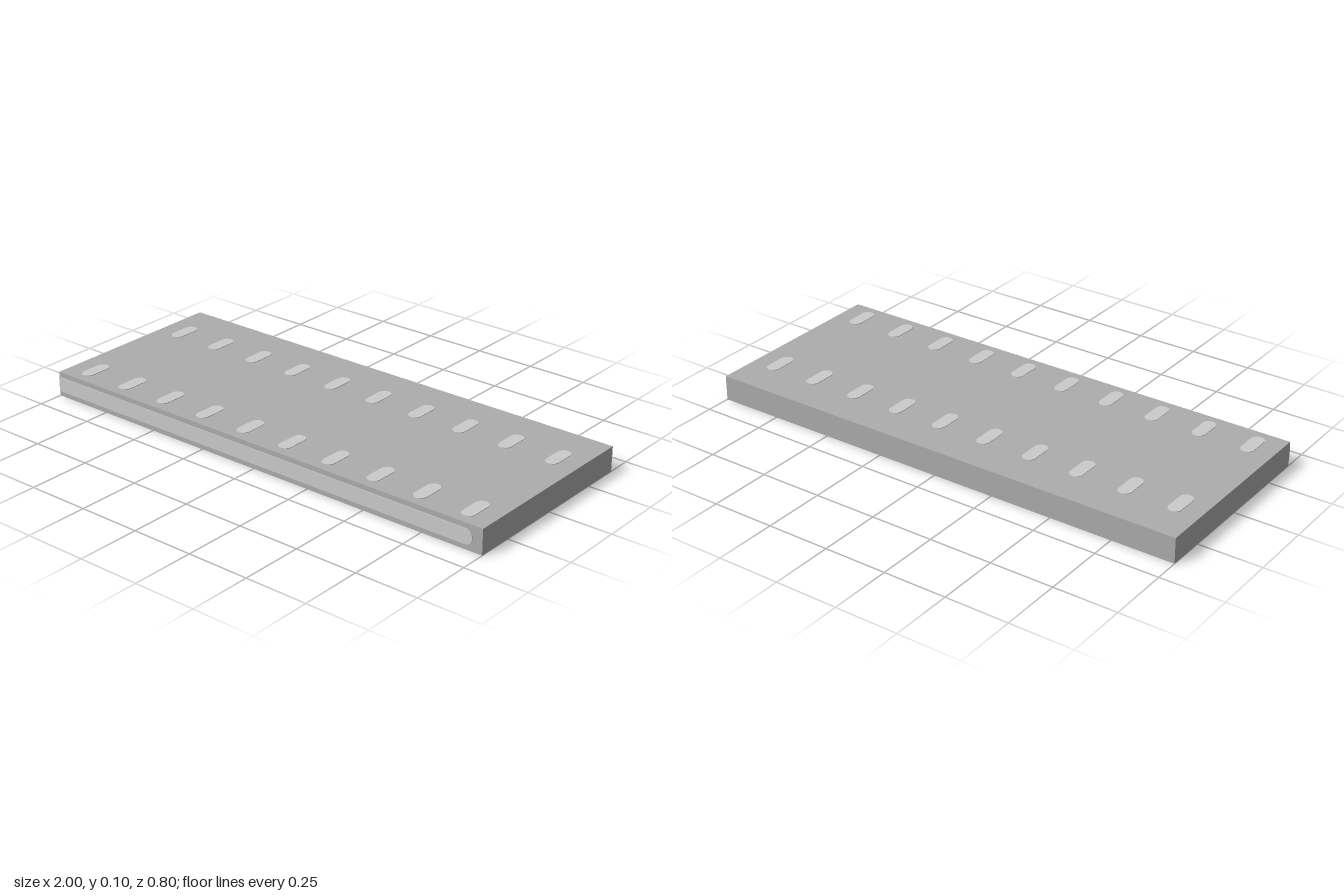
import * as THREE from 'three';

const T = 0.0025; // relief of the inlays

// Outline of a slot along x: right end round, left end round or square
function slotShape(x0, x1, r, roundLeft) {
  const s = new THREE.Shape();
  if (roundLeft) {
    s.absarc(x0 + r, 0, r, Math.PI / 2, Math.PI * 1.5, false);
  } else {
    s.moveTo(x0, r);
    s.lineTo(x0, -r);
  }
  s.absarc(x1 - r, 0, r, -Math.PI / 2, Math.PI / 2, false);
  s.closePath();
  return s;
}

function inlay(shape) {
  return new THREE.ExtrudeGeometry(shape, { depth: T, bevelEnabled: false, curveSegments: 16 });
}

export function createModel() {
  const group = new THREE.Group();
  const slabMat = new THREE.MeshStandardMaterial({ color: 0xadadad });
  const inlayMat = new THREE.MeshStandardMaterial({ color: 0xcccccc });

  const add = (name, geometry, material, x, y, z) => {
    const mesh = new THREE.Mesh(geometry, material);
    mesh.name = name;
    mesh.position.set(x, y, z);
    group.add(mesh);
  };

  // Flat slab
  add('slab', new THREE.BoxGeometry(2, 0.1, 0.8 - T), slabMat, 0, 0.05, -T / 2);

  // Long strip on the front edge, square at one end and round at the other
  add('frontStrip', inlay(slotShape(-1, 0.96, 0.03, false)), inlayMat, 0, 0.05, 0.4 - T);

  // Two rows of pads on top
  const pad = inlay(slotShape(-0.063, 0.063, 0.026, true));
  pad.rotateZ(Math.PI / 2).rotateX(-Math.PI / 2);
  for (const [row, z] of [['backPad', -0.2], ['frontPad', 0.3]]) {
    for (let i = 0; i < 10; i++) add(row + (i + 1), pad, inlayMat, -0.9 + i * 0.2, 0.1, z);
  }
  return group;
}
